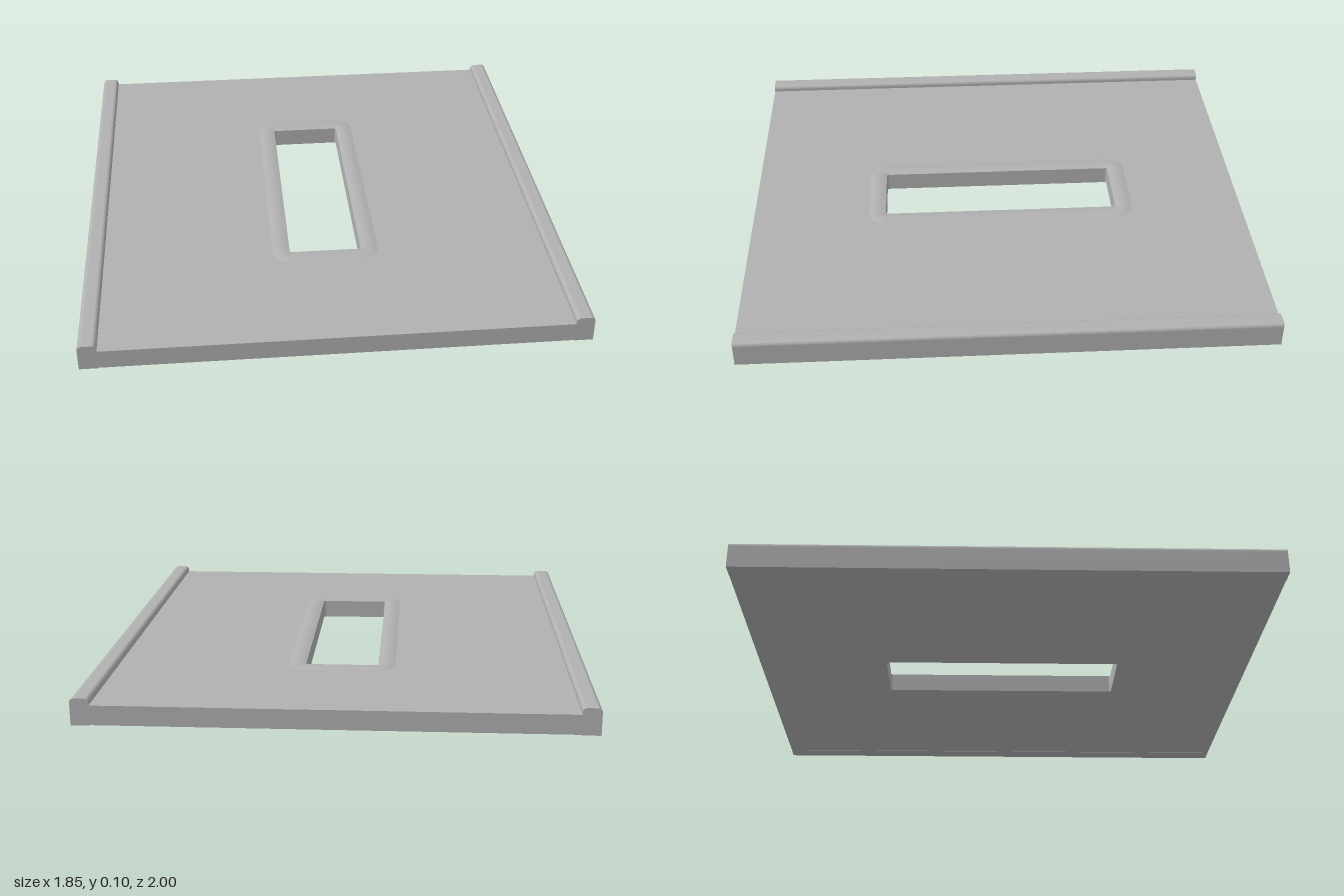
import * as THREE from 'three';

const W = 0.925, RAIL_IN = 0.857, TOP = 0.075, HOLE_Z = -0.01;

// Outline of a rounded rectangle, counter-clockwise
function roundedRect(hw, hd, r, steps = 8) {
  const pts = [];
  for (let c = 0; c < 4; c++) {
    const cx = (c === 0 || c === 3 ? 1 : -1) * (hw - r);
    const cy = (c < 2 ? 1 : -1) * (hd - r);
    for (let i = 0; i <= steps; i++) {
      const a = (c + i / steps) * Math.PI / 2;
      pts.push(new THREE.Vector2(cx + r * Math.cos(a), cy + r * Math.sin(a)));
    }
  }
  return pts;
}

// Low domed lip lofted between the outer outline and the opening
function rimGeometry() {
  const rings = 8, pos = [], idx = [];
  let n = 0;
  for (let k = 0; k <= rings; k++) {
    const t = k / rings;
    const pts = roundedRect(0.206 - 0.067 * t, 0.542 - 0.069 * t, 0.075 - 0.067 * t);
    n = pts.length;
    const y = TOP + 0.006 * Math.sin(Math.PI * t);
    pts.forEach(p => pos.push(p.x, y, HOLE_Z - p.y));
  }
  for (let k = 0; k < rings; k++) {
    for (let i = 0; i < n; i++) {
      const a = k * n + i, b = k * n + (i + 1) % n;
      idx.push(a, b, b + n, a, b + n, a + n);
    }
  }
  const g = new THREE.BufferGeometry();
  g.setAttribute('position', new THREE.Float32BufferAttribute(pos, 3));
  g.setIndex(idx);
  g.computeVertexNormals();
  return g;
}

export function createModel() {
  const group = new THREE.Group();
  const grey = new THREE.MeshStandardMaterial({ color: 0xb0b0b0 });
  grey.name = 'plain grey';
  const add = (name, geometry) => {
    const mesh = new THREE.Mesh(geometry, grey);
    mesh.name = name;
    group.add(mesh);
    return mesh;
  };

  // Flat plate with the central slot
  const plate = new THREE.Shape([
    new THREE.Vector2(-RAIL_IN, -1), new THREE.Vector2(RAIL_IN, -1),
    new THREE.Vector2(RAIL_IN, 1), new THREE.Vector2(-RAIL_IN, 1),
  ]);
  const slot = roundedRect(0.139, 0.473, 0.008).map(p => new THREE.Vector2(p.x, p.y - HOLE_Z));
  plate.holes.push(new THREE.Path(slot.reverse()));
  const plateGeo = new THREE.ExtrudeGeometry(plate, { depth: TOP - 0.002, bevelEnabled: false });
  plateGeo.rotateX(-Math.PI / 2).translate(0, 0.002, 0);
  add('plate', plateGeo);

  // Lip around the slot
  add('slotRim', rimGeometry());

  // Raised side rails with rounded tops
  for (const side of [1, -1]) {
    const r = 0.016;
    const s = new THREE.Shape();
    s.moveTo(RAIL_IN, 0);
    s.lineTo(W, 0);
    s.absarc(W - r, 0.1 - r, r, 0, Math.PI / 2, false);
    s.absarc(RAIL_IN + r, 0.1 - r, r, Math.PI / 2, Math.PI, false);
    s.closePath();
    const g = new THREE.ExtrudeGeometry(s, { depth: 2, bevelEnabled: false, curveSegments: 6 });
    g.translate(0, 0, -1);
    if (side < 0) g.rotateY(Math.PI);
    add(side > 0 ? 'leftRail' : 'rightRail', g);
  }
  return group;
}
